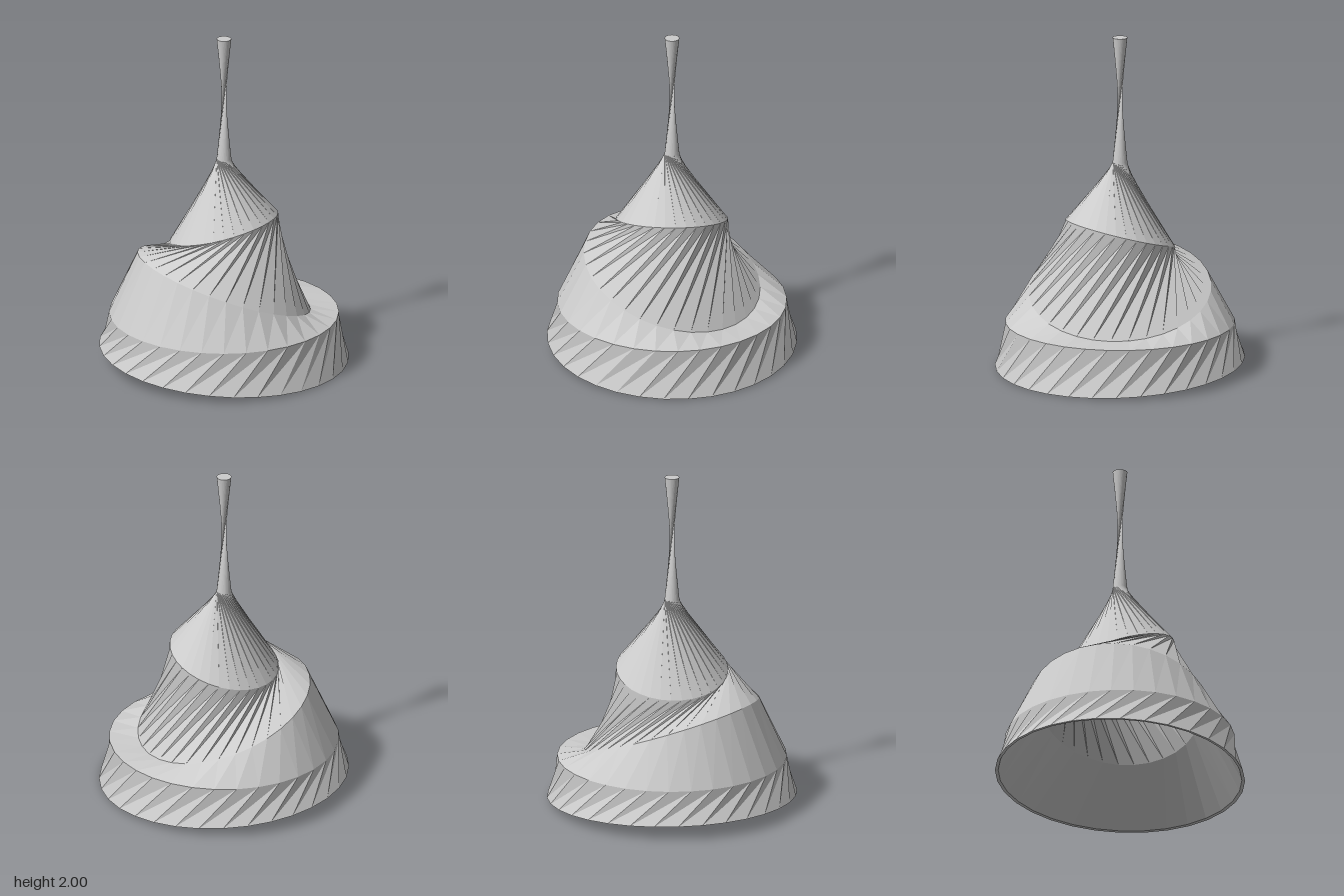
import * as THREE from 'three';

const SIDES = 32;

// A circle of points at height y, tilted so that its plane rises by slopeX and slopeZ, turned by `turn` degrees
function ring(radius, y, turn = 0, slopeX = 0, slopeZ = 0) {
  const normal = new THREE.Vector3(-slopeX, 1, -slopeZ).normalize();
  const tilt = new THREE.Quaternion().setFromUnitVectors(new THREE.Vector3(0, 1, 0), normal);
  const points = [];
  for (let i = 0; i < SIDES; i++) {
    const a = THREE.MathUtils.degToRad(turn + (360 * i) / SIDES);
    const p = new THREE.Vector3(Math.cos(a) * radius, 0, -Math.sin(a) * radius);
    p.applyQuaternion(tilt);
    p.y += y;
    points.push(p);
  }
  return points;
}

// Faceted skin through a list of rings, optionally closed at the last one
function loft(name, rings, capEnd = false) {
  const corners = [];
  for (let k = 0; k < rings.length - 1; k++) {
    const lo = rings[k], hi = rings[k + 1];
    for (let i = 0; i < SIDES; i++) {
      const j = (i + 1) % SIDES;
      corners.push(lo[i], lo[j], hi[j], lo[i], hi[j], hi[i]);
    }
  }
  if (capEnd) {
    const top = rings[rings.length - 1];
    for (let i = 1; i < SIDES - 1; i++) corners.push(top[0], top[i], top[i + 1]);
  }
  const geometry = new THREE.BufferGeometry().setFromPoints(corners);
  geometry.computeVertexNormals();
  const material = new THREE.MeshStandardMaterial({
    color: 0xcccccc, flatShading: true, side: THREE.DoubleSide,
  });
  const mesh = new THREE.Mesh(geometry, material);
  mesh.name = name;
  return mesh;
}

export function createModel() {
  const group = new THREE.Group();
  group.name = 'twistedBell';

  // Tilted and turned rings shared by neighbouring bands
  const rim = ring(0.732, 0.045, 0, -0.048, 0.038);
  const skirtTop = ring(0.672, 0.285, 18);
  const shoulder = ring(0.535, 0.48, 18, -0.1, 0.36);
  const waist = ring(0.328, 0.82, 64, 0.27, -0.13);
  const neck = ring(0.043, 1.25, -16);
  const tip = ring(0.043, 2, 126);

  group.add(
    loft('skirt', [rim, skirtTop]),
    loft('lowerTier', [skirtTop, shoulder]),
    loft('middleTier', [shoulder, waist]),
    loft('upperCone', [waist, neck]),
    loft('handle', [neck, tip], true),
  );

  // Hollow inside, running down to the thin edge of the rim
  group.add(loft('innerWall', [
    ring(0.02, 1.2, -32),
    ring(0.29, 0.79, 46, 0.27, -0.13),
    ring(0.47, 0.485, 0, -0.1, 0.38),
    ring(0.713, 0.047, 0, -0.048, 0.038),
    rim,
  ]));

  return group;
}
